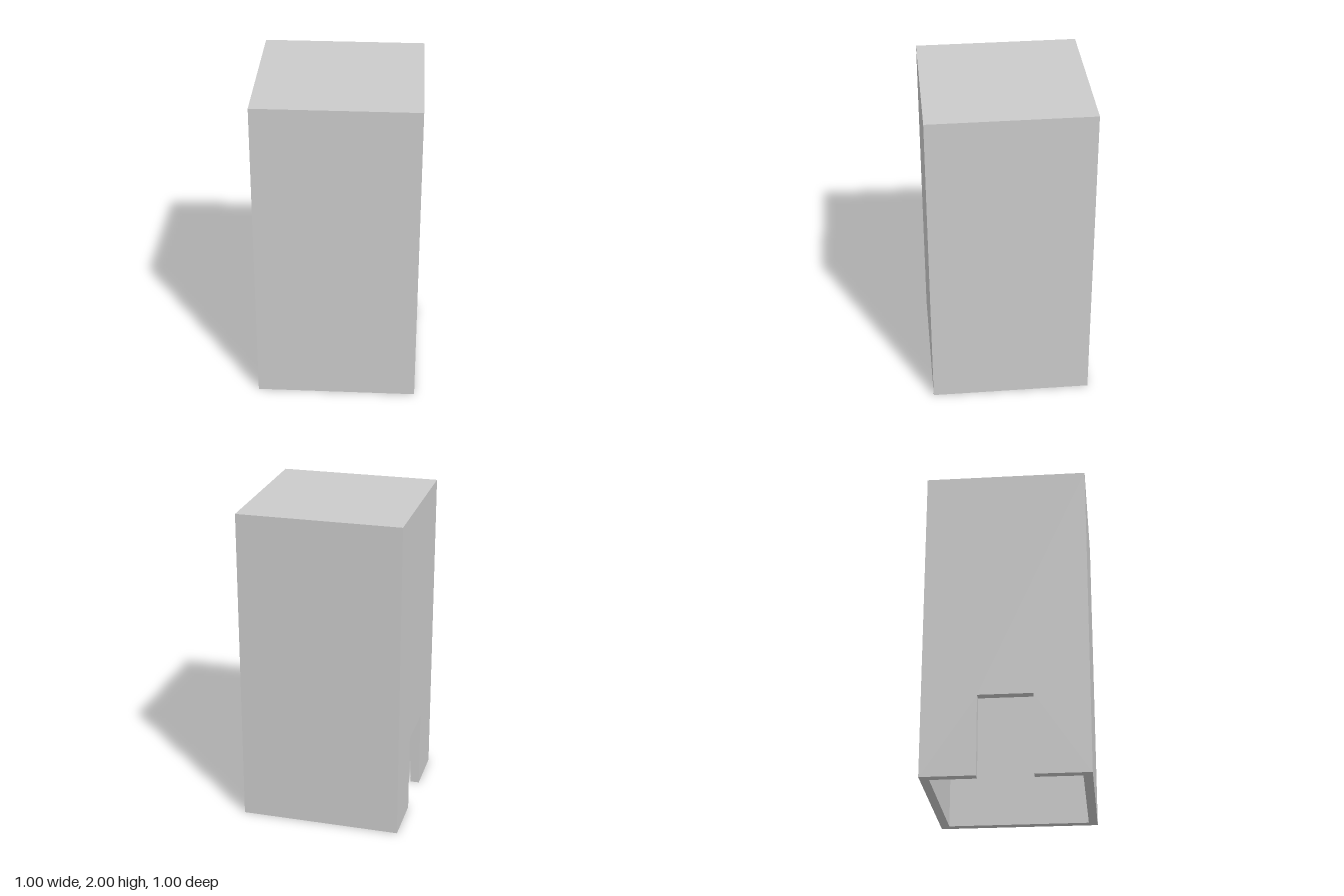
import * as THREE from 'three';

const H = 2, HALF = 0.5;            // height and half width of the tower
const T = 0.055, IN = HALF - T;     // wall thickness and inner half width
const DOOR = 1 / 6, DOOR_H = 0.5;   // doorway half width and height

const material = new THREE.MeshStandardMaterial({ color: 0xcccccc, flatShading: true });

const flat = (points) =>
  new THREE.ShapeGeometry(new THREE.Shape(points.map(([x, y]) => new THREE.Vector2(x, y))));

// Wall face standing on y = 0, with an optional notch for the doorway
function wallFace(half, height, hasDoor) {
  const notch = hasDoor ? [[-DOOR, 0], [-DOOR, DOOR_H], [DOOR, DOOR_H], [DOOR, 0]] : [];
  return flat([[-half, 0], ...notch, [half, 0], [half, height], [-half, height]]);
}

export function createModel() {
  const model = new THREE.Group();
  model.name = 'hollowTower';
  const add = (parent, name, geometry) => {
    const mesh = new THREE.Mesh(geometry, material);
    mesh.name = name;
    parent.add(mesh);
  };

  // Four walls, each with an outer and an inner face; the doorway is on -x
  ['frontWall', 'leftWall', 'backWall', 'doorWall'].forEach((name, i) => {
    const wall = new THREE.Group();
    wall.name = name;
    const hasDoor = name === 'doorWall';
    add(wall, name + 'Outside', wallFace(HALF, H, hasDoor).translate(0, 0, HALF));
    add(wall, name + 'Inside', wallFace(IN, H - T, hasDoor).rotateY(Math.PI).translate(0, 0, IN));
    wall.rotation.y = i * Math.PI / 2;
    model.add(wall);
  });

  // Roof and the ceiling beneath it
  add(model, 'roof', new THREE.PlaneGeometry(1, 1).rotateX(-Math.PI / 2).translate(0, H, 0));
  add(model, 'ceiling', new THREE.PlaneGeometry(2 * IN, 2 * IN).rotateX(Math.PI / 2).translate(0, H - T, 0));

  // Doorway reveals
  const doorway = new THREE.Group();
  doorway.name = 'doorway';
  doorway.position.x = -HALF + T / 2;
  for (const s of [-1, 1]) {
    add(doorway, s < 0 ? 'backJamb' : 'frontJamb',
      new THREE.PlaneGeometry(T, DOOR_H).rotateY(s < 0 ? 0 : Math.PI).translate(0, DOOR_H / 2, s * DOOR));
  }
  add(doorway, 'lintel', new THREE.PlaneGeometry(T, 2 * DOOR).rotateX(Math.PI / 2).translate(0, DOOR_H, 0));
  model.add(doorway);

  // Underside of the walls, broken at the doorway
  add(model, 'bottomRim', flat([
    [-HALF, -DOOR], [-HALF, -HALF], [HALF, -HALF], [HALF, HALF], [-HALF, HALF], [-HALF, DOOR],
    [-IN, DOOR], [-IN, IN], [IN, IN], [IN, -IN], [-IN, -IN], [-IN, -DOOR],
  ]).rotateX(Math.PI / 2));

  return model;
}
